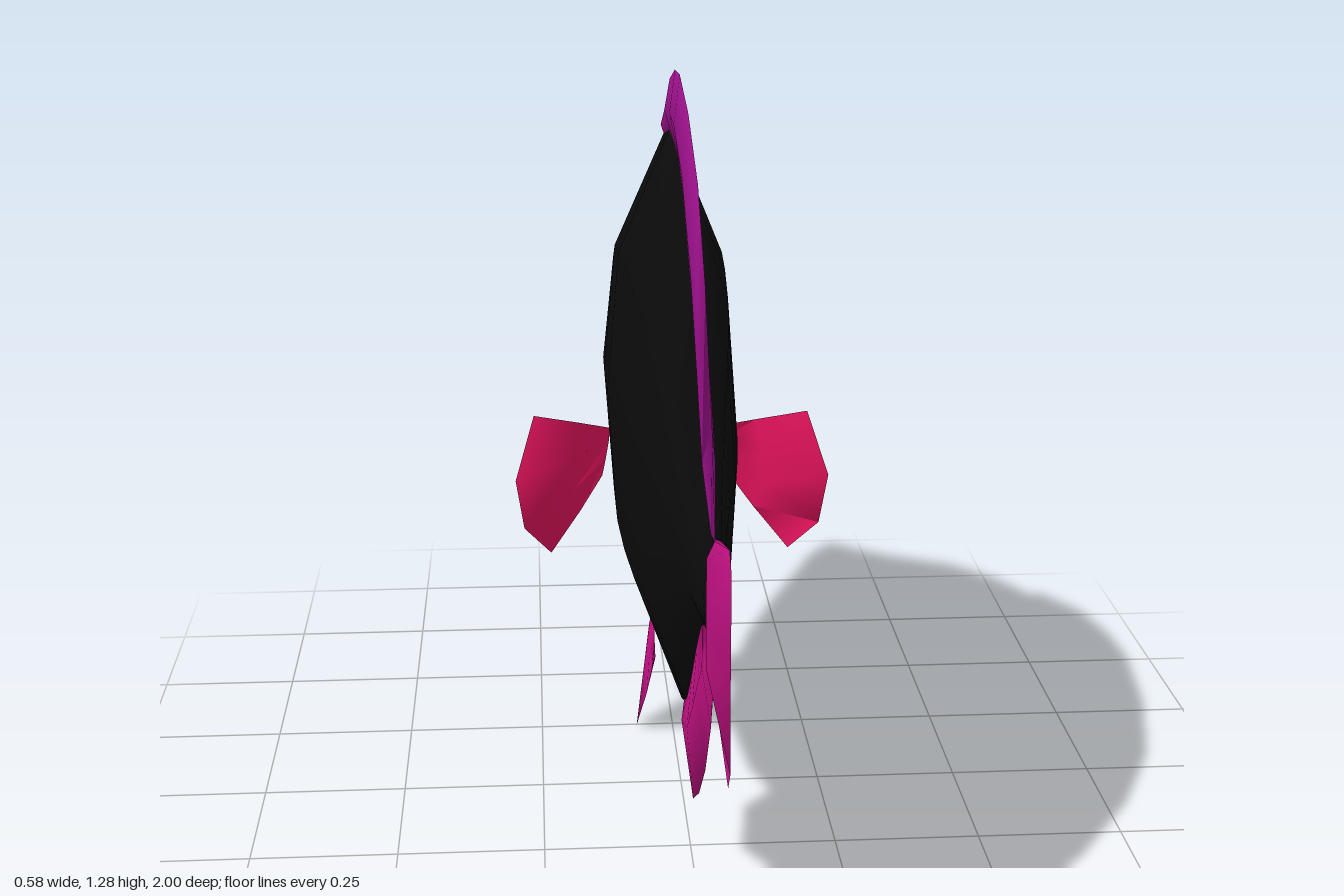
import * as THREE from 'three';

const mat = (name, color) => {
  const m = new THREE.MeshStandardMaterial({ color });
  m.name = name;
  return m;
};

// Smooth closed loft through equal-length rings of [x, y, z] points
function loft(rings) {
  const n = rings[0].length, pos = [], idx = [];
  rings.forEach(r => r.forEach(p => pos.push(...p)));
  for (let i = 0; i < rings.length - 1; i++) {
    for (let j = 0; j < n; j++) {
      const k = (j + 1) % n, a = i * n + j, b = i * n + k;
      idx.push(a, a + n, b, b, a + n, b + n);
    }
  }
  const last = (rings.length - 1) * n;
  for (let j = 1; j < n - 1; j++) {
    idx.push(0, j, j + 1, last, last + j + 1, last + j);
  }
  const g = new THREE.BufferGeometry();
  g.setAttribute('position', new THREE.Float32BufferAttribute(pos, 3));
  g.setIndex(idx);
  g.computeVertexNormals();
  return g;
}

// Eight-sided fish sections, each row [z, top, bottom, halfWidth]
function hull(rows) {
  return loft(rows.map(([z, top, bottom, w]) => {
    const c = (top + bottom) / 2, h = (top - bottom) / 2;
    return [[0, 1], [0.81, 0.53], [1, 0], [0.86, -0.52], [0, -1], [-0.86, -0.52], [-1, 0], [-0.81, 0.53]]
      .map(([x, y]) => [x * w, c + y * h, z]);
  }));
}

// Lens-shaped fin, each row [base z, base y, edge z, edge y]; bend gives the x of the midplane
function fin(rows, thick, mid = 0.45, bend = () => 0) {
  return loft(rows.map(([bz, by, ez, ey], i) => {
    const t = i === 0 || i === rows.length - 1 ? thick * 0.3 : thick;
    const mz = bz + (ez - bz) * mid, my = by + (ey - by) * mid, mx = bend(my, mz);
    return [[bend(by, bz), by, bz], [mx + t, my, mz], [bend(ey, ez), ey, ez], [mx - t, my, mz]];
  }));
}

export function createModel() {
  const group = new THREE.Group();
  const black = mat('black skin', 0x0b0b0b);
  const purple = mat('purple fin', 0x981087);
  const magenta = mat('magenta fin', 0xbd107f);
  const crimson = mat('crimson fin', 0xdc1258);
  const red = mat('dark red', 0x801414);
  const blue = mat('dark blue', 0x10106e);
  const add = (name, geometry, material) => {
    const m = new THREE.Mesh(geometry, material);
    m.name = name;
    group.add(m);
    return m;
  };

  // Body, snout to tail root
  add('body', hull([
    [-1, 0.6, 0.58, 0.006], [-0.92, 0.68, 0.54, 0.045], [-0.85, 0.76, 0.45, 0.068],
    [-0.72, 0.93, 0.335, 0.1], [-0.6, 1.03, 0.257, 0.115], [-0.45, 1.12, 0.2, 0.118],
    [-0.3, 1.152, 0.168, 0.117], [-0.155, 1.157, 0.16, 0.109], [0.02, 1.14, 0.178, 0.097],
    [0.14, 1.1, 0.222, 0.086], [0.25, 1.04, 0.3, 0.073], [0.38, 0.92, 0.415, 0.053],
    [0.49, 0.81, 0.5, 0.038], [0.57, 0.76, 0.54, 0.028], [0.66, 0.735, 0.557, 0.019],
    [0.71, 0.72, 0.57, 0.015], [0.727, 0.68, 0.6, 0.01],
  ]), black);

  // Lips
  add('upperLip', hull([[-1, 0.597, 0.58, 0.012], [-0.96, 0.588, 0.565, 0.031], [-0.92, 0.56, 0.55, 0.046]]), blue);
  add('lowerLip', hull([[-0.995, 0.582, 0.565, 0.012], [-0.95, 0.565, 0.54, 0.034], [-0.895, 0.535, 0.512, 0.04]]), red);

  // Unpaired fins
  add('dorsalFin', fin([
    [0.66, 0.73, 0.735, 0.735], [0.57, 0.75, 0.67, 0.89], [0.48, 0.8, 0.54, 1.06],
    [0.36, 0.92, 0.39, 1.18], [0.16, 1.07, 0.18, 1.253], [-0.03, 1.13, -0.03, 1.285],
    [-0.15, 1.14, -0.155, 1.275], [-0.29, 1.14, -0.305, 1.237], [-0.4, 1.12, -0.434, 1.157],
    [-0.43, 1.11, -0.45, 1.125],
  ], 0.01), purple);
  add('analFin', fin([
    [0.14, 0.235, 0.13, 0.22], [0.17, 0.25, 0.166, 0.145], [0.29, 0.35, 0.31, 0.123],
    [0.4, 0.45, 0.445, 0.2], [0.5, 0.53, 0.57, 0.3], [0.58, 0.555, 0.675, 0.42],
    [0.64, 0.56, 0.735, 0.546],
  ], 0.01), magenta);
  add('tailFin', fin([
    [0.735, 0.545, 0.97, 0.466], [0.715, 0.57, 1, 0.5], [0.705, 0.645, 0.997, 0.64],
    [0.715, 0.71, 1, 0.785], [0.735, 0.74, 0.97, 0.81],
  ], 0.015, 0.2), magenta);

  // Paired fins and eyes
  for (const [side, s] of [['left', 1], ['right', -1]]) {
    add(side + 'PectoralFin', fin([
      [-0.465, 0.44, -0.32, 0.335], [-0.475, 0.47, -0.25, 0.41],
      [-0.485, 0.505, -0.23, 0.51], [-0.488, 0.53, -0.28, 0.62],
    ], 0.009, 0.45, (y, z) => s * (0.107 + (z + 0.488) * 0.71)), crimson);
    add(side + 'PelvicFin', fin([
      [-0.38, 0.2, -0.316, 0.096], [-0.31, 0.195, -0.247, 0.005],
      [-0.24, 0.18, -0.2, 0.09], [-0.21, 0.16, -0.2, 0.14],
    ], 0.006, 0.3, y => s * (0.03 + (0.2 - y) * 0.2)), magenta);
    const eye = add(side + 'Eye', new THREE.SphereGeometry(1, 8, 6), red);
    eye.scale.set(0.026, 0.052, 0.044);
    eye.position.set(s * 0.07, 0.743, -0.75);
    eye.rotation.y = s * 0.25;
  }
  return group;
}
